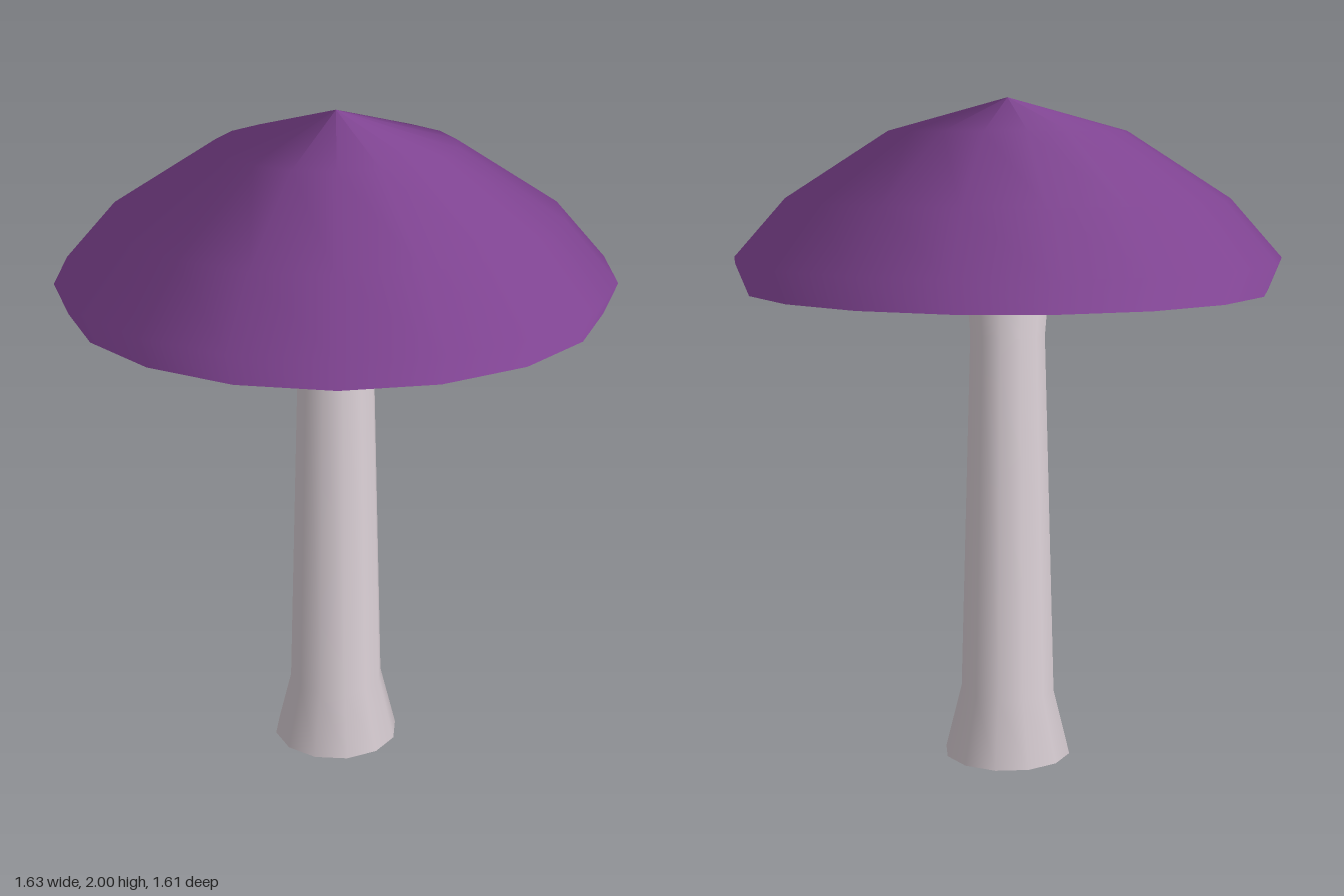
import * as THREE from 'three';

const capPurple = new THREE.MeshStandardMaterial({ color: 0x9550aa });
capPurple.name = 'cap purple';
const stemCream = new THREE.MeshStandardMaterial({ color: 0xe0d5db });
stemCream.name = 'stem pale';

// Revolved shell whose normals all point straight out from the axis
function shell(name, profile, sides, material) {
  const points = profile.map(([r, y]) => new THREE.Vector2(r, y));
  const geometry = new THREE.LatheGeometry(points, sides, Math.PI / 2);
  const { normal, uv } = geometry.attributes;
  for (let i = 0; i < normal.count; i++) {
    const phi = Math.PI / 2 + uv.getX(i) * Math.PI * 2;
    normal.setXYZ(i, Math.sin(phi), 0, Math.cos(phi));
  }
  const mesh = new THREE.Mesh(geometry, material);
  mesh.name = name;
  return mesh;
}

// Flat disc facing down that closes the bottom of a shell
function bottomDisc(name, radius, y, sides, material) {
  const mesh = new THREE.Mesh(new THREE.CircleGeometry(radius, sides).rotateX(Math.PI / 2), material);
  mesh.position.y = y;
  mesh.name = name;
  return mesh;
}

export function createModel() {
  const model = new THREE.Group();
  model.name = 'mushroom';

  // Stem: flared foot, long taper, slight flare under the cap
  const stem = [[0.195, 0], [0.145, 0.2], [0.114, 1.3], [0.122, 1.4]];
  model.add(shell('stem', stem, 12, stemCream));
  model.add(bottomDisc('stemBase', 0.195, 0, 12, stemCream));

  // Cap: shallow underside, turned-in rim, faceted dome to a point
  const cap = [[0.15, 1.4], [0.778, 1.44], [0.815, 1.532], [0.66, 1.706], [0.352, 1.903], [0, 2]];
  model.add(shell('cap', cap, 18, capPurple));
  model.add(bottomDisc('capCollar', 0.15, 1.4, 18, capPurple));

  return model;
}
